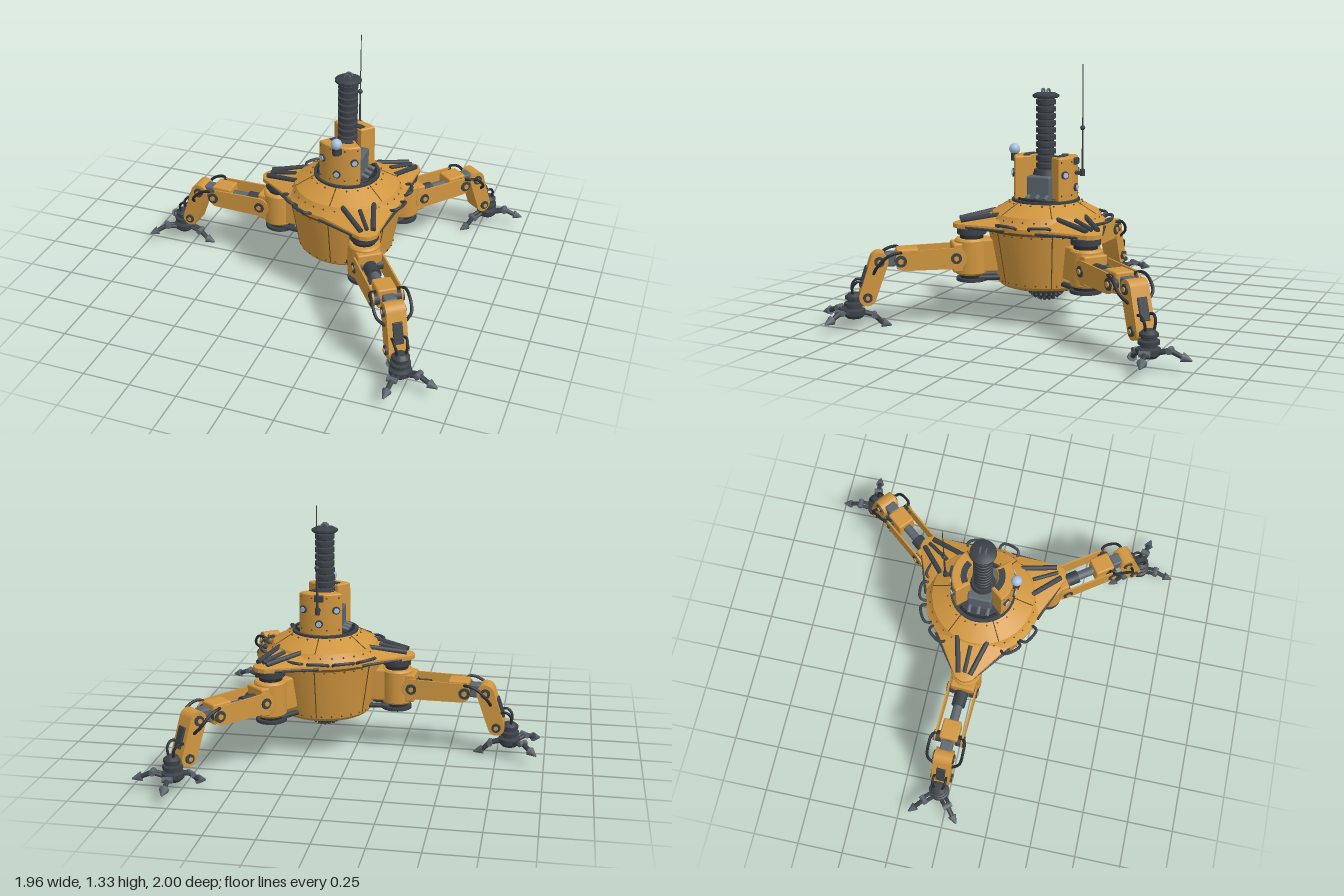
import * as THREE from 'three';
import { toCreasedNormals, mergeGeometries } from 'three/addons/utils/BufferGeometryUtils.js';
import { RoundedBoxGeometry } from 'three/addons/geometries/RoundedBoxGeometry.js';
import { ConvexGeometry } from 'three/addons/geometries/ConvexGeometry.js';

const material = (name, color) => Object.assign(new THREE.MeshStandardMaterial({ color }), { name });
const yellow = material('ochre paint', 0xd0963f);
const dark = material('dark steel', 0x3b4147);
const grey = material('grey steel', 0x5d666f);
const black = material('black rubber', 0x282b2f);
const brown = material('seam brown', 0x6b4a1f);
const glass = material('pale lens', 0xa9c0dc);

const v = (x, y, z = 0) => new THREE.Vector3(x, y, z);
const rad = THREE.MathUtils.degToRad;

function add(parent, name, geo, mat, x = 0, y = 0, z = 0) {
  const m = new THREE.Mesh(geo, mat);
  m.name = name;
  m.position.set(x, y, z);
  parent.add(m);
  return m;
}
// Straight bar between two points
function rod(parent, name, mat, p, q, r, r2 = r, sides = 12) {
  const m = add(parent, name, new THREE.CylinderGeometry(r2, r, p.distanceTo(q), sides), mat);
  m.position.copy(p).lerp(q, 0.5);
  m.quaternion.setFromUnitVectors(v(0, 1), q.clone().sub(p).normalize());
  return m;
}
function tube(parent, name, mat, pts, r) {
  const curve = new THREE.CatmullRomCurve3(pts, false, 'centripetal');
  return add(parent, name, new THREE.TubeGeometry(curve, 16, r, 7), mat);
}
const lathe = (pts, seg = 36) => toCreasedNormals(
  new THREE.LatheGeometry(pts.map(p => new THREE.Vector2(...p)), seg), 0.5);
const box = (w, h, d, r = 0.01) => new RoundedBoxGeometry(w, h, d, 2, r);
// Flat link with round ends, thick along z and centred on z = 0
function link(p, q, r1, r2, thick) {
  const a = Math.atan2(q.y - p.y, q.x - p.x), h = Math.PI / 2, s = new THREE.Shape();
  s.absarc(p.x, p.y, r1, a + h, a + 3 * h);
  s.absarc(q.x, q.y, r2, a - h, a + h);
  const g = new THREE.ExtrudeGeometry(s, { depth: thick, bevelEnabled: false, curveSegments: 10 });
  return toCreasedNormals(g.translate(0, 0, -thick / 2), 0.6);
}
// Upright ring sector facing +z, hanging down from y = 0
function sector(outer, inner, deg, depth, bevel) {
  const half = rad(deg), mid = Math.PI / 2, s = new THREE.Shape();
  s.absarc(0, 0, outer, mid - half, mid + half);
  s.absarc(0, 0, inner, mid + half, mid - half, true);
  const g = new THREE.ExtrudeGeometry(s, { depth, bevelEnabled: bevel > 0, bevelSize: bevel, bevelThickness: bevel, bevelSegments: 1, curveSegments: 16 });
  return toCreasedNormals(g.rotateX(Math.PI / 2), 0.5);
}
// Rings of rivets merged into one mesh
function rivets(parent, name, rings, size) {
  const parts = [];
  for (const [r, y, n] of rings) for (let i = 0; i < n; i++) {
    const a = i / n * Math.PI * 2;
    parts.push(new THREE.SphereGeometry(size, 6, 4).translate(r * Math.cos(a), y, r * Math.sin(a)));
  }
  add(parent, name, mergeGeometries(parts), brown);
}

function hull(root) {
  add(root, 'hull', lathe([[0, 0.205], [0.235, 0.205], [0.252, 0.222], [0.3, 0.505], [0.312, 0.51],
    [0.312, 0.53], [0.29, 0.55], [0.275, 0.58], [0.165, 0.64], [0, 0.64]]), yellow);
  add(root, 'rimBand', lathe([[0.296, 0.495], [0.306, 0.495], [0.306, 0.508], [0.296, 0.508]]), brown);
  rivets(root, 'hullRivets', [[0.255, 0.235, 30], [0.3, 0.487, 36], [0.285, 0.56, 30], [0.19, 0.629, 20]], 0.005);
  for (let i = 0; i < 6; i++) {
    const a = rad(i * 60 + 30), c = Math.cos(a), s = Math.sin(a);
    rod(root, 'hullSeam', brown, v(0.252 * c, 0.225, 0.252 * s), v(0.2995 * c, 0.495, 0.2995 * s), 0.003, 0.003, 5);
    rod(root, 'domeSeam', brown, v(0.275 * c, 0.58, 0.275 * s), v(0.167 * c, 0.639, 0.167 * s), 0.003, 0.003, 5);
  }
  // Grab handles around the rim
  for (const deg of [-94, -70, -18, 15, 118, 140, -142, -118]) {
    const g = new THREE.Group();
    g.name = 'rimHandle';
    g.rotation.y = -rad(deg);
    root.add(g);
    tube(g, 'handleLoop', dark, [v(0.295, 0.525, -0.052), v(0.325, 0.54, -0.052), v(0.34, 0.545, -0.04),
      v(0.34, 0.545, 0.04), v(0.325, 0.54, 0.052), v(0.295, 0.525, 0.052)], 0.008);
  }
  // Toothed drill underneath
  add(root, 'drillRing', lathe([[0.12, 0.207], [0.125, 0.195], [0.205, 0.195], [0.215, 0.207]]), black);
  add(root, 'drillHead', lathe([[0, 0.118], [0.04, 0.122], [0.075, 0.145], [0.092, 0.17], [0.098, 0.207]]), dark);
  const teeth = [];
  for (const [r, y, n, tilt] of [[0.1, 0.192, 24, 1.6], [0.095, 0.172, 22, 1.9], [0.08, 0.152, 19, 2.2],
    [0.06, 0.135, 14, 2.5], [0.035, 0.123, 9, 2.8], [0.01, 0.12, 3, 3]])
    for (let i = 0; i < n; i++)
      teeth.push(new THREE.CylinderGeometry(0.005, 0.014, 0.022, 6).rotateZ(-tilt).translate(r, y, 0).rotateY((i + y * 100) / n * 6.2832));
  add(root, 'drillTeeth', mergeGeometries(teeth), dark);
}

function tower(root) {
  add(root, 'turretDeck', lathe([[0.175, 0.632], [0.175, 0.646], [0, 0.646]]), dark);
  add(root, 'mastHousing', box(0.2, 0.125, 0.13), grey, 0, 0.705);
  add(root, 'mastCollar', new THREE.CylinderGeometry(0.06, 0.068, 0.03, 24), dark, 0, 0.78);
  // Ribbed mast
  const profile = [[0.041, 0.76]];
  for (let y = 0.8; y < 1.15; y += 0.036)
    profile.push([0.041, y], [0.051, y + 0.004], [0.051, y + 0.027], [0.041, y + 0.031]);
  profile.push([0.041, 1.158], [0.06, 1.16], [0.068, 1.166], [0.068, 1.176], [0.05, 1.186], [0, 1.188]);
  add(root, 'ribbedMast', lathe(profile, 28), dark);
  for (const z of [-0.015, 0.015])
    add(root, 'mastHook', new THREE.TorusGeometry(0.017, 0.005, 6, 12, Math.PI), grey, 0, 1.188, z);
  for (const s of [1, -1]) {
    // Curved armour shells, front and back
    const shell = new THREE.Group();
    shell.name = 'towerShell';
    shell.rotation.y = s > 0 ? 0 : Math.PI;
    root.add(shell);
    add(shell, 'shellArmour', sector(0.158, 0.085, 41, 0.21, 0.006), yellow, 0, 0.86);
    add(shell, 'shellTopInset', sector(0.116, 0.083, 34, 0.006, 0), dark, 0, 0.871);
    for (const [deg, y] of [[-31, 0.78], [31, 0.78], [0, 0.71]]) {
      const a = rad(deg), p = r => v(r * Math.sin(a), y, r * Math.cos(a));
      rod(shell, 'lampRim', dark, p(0.155), p(0.172), 0.021);
      rod(shell, 'lampLens', glass, p(0.168), p(0.177), 0.014);
    }
    const dots = [];
    for (const deg of [-37, -14, 14, 37]) for (const y of [0.675, 0.845])
      dots.push(new THREE.SphereGeometry(0.005, 6, 4).translate(0, 0, 0.164).rotateY(rad(deg)).translate(0, y, 0));
    add(shell, 'shellRivets', mergeGeometries(dots), brown);
    add(shell, 'shellBracket', box(0.05, 0.035, 0.018, 0.005), dark, 0, 0.845, 0.167);
    // Low pipework on the deck beside the mast
    for (const z of [-0.05, 0, 0.05])
      rod(root, 'deckPipe', grey, v(s * 0.135, 0.653, z), v(s * 0.09, 0.668, z), 0.011);
    tube(root, 'deckHose', black, [v(s * 0.11, 0.65, -0.1), v(s * 0.138, 0.65, -0.06), v(s * 0.15, 0.65, 0),
      v(s * 0.138, 0.65, 0.06), v(s * 0.11, 0.65, 0.1)], 0.008);
  }
  rod(root, 'beaconStem', dark, v(0, 0.83, 0.177), v(0, 0.875, 0.177), 0.02);
  add(root, 'beacon', new THREE.SphereGeometry(0.029, 20, 14), glass, 0, 0.89, 0.177);
  // Whip antenna
  rod(root, 'antennaArm', dark, v(0, 0.785, -0.15), v(0, 0.785, -0.203), 0.01);
  rod(root, 'antennaBase', dark, v(0, 0.77, -0.203), v(0, 0.805, -0.203), 0.013);
  rod(root, 'antennaLower', dark, v(0, 0.8, -0.203), v(0, 1.02, -0.203), 0.006, 0.004, 8);
  rod(root, 'antennaWhip', dark, v(0, 1.02, -0.203), v(0, 1.335, -0.203), 0.003, 0.002, 6);
  add(root, 'antennaKnob', new THREE.SphereGeometry(0.013, 12, 8), dark, 0, 1.015, -0.203);
}

// Shoulder fairing and hip mount; local +x points outward
function shoulder(g) {
  const pts = [];
  for (const s of [1, -1]) {
    pts.push(v(0.2, 0.505, s * 0.225), v(0.2, 0.53, s * 0.22), v(0.16, 0.59, s * 0.115));
    for (const a of [10, 45, 80]) for (const y of [0.505, 0.527])
      pts.push(v(0.425 + 0.055 * Math.cos(rad(a)), y, s * 0.062 * Math.sin(rad(a))));
    pts.push(v(0.4, 0.545, s * 0.035));
  }
  add(g, 'fairing', toCreasedNormals(new ConvexGeometry(pts), 0.3), yellow);
  for (const s of [1, -1]) {
    rod(g, 'fairingBar', dark, v(0.25, 0.575, s * 0.082), v(0.44, 0.544, s * 0.032), 0.014);
    rod(g, 'fairingEdge', dark, v(0.24, 0.512, s * 0.205), v(0.42, 0.512, s * 0.07), 0.007);
    rod(g, 'lowerBrace', dark, v(0.2, 0.245, s * 0.05), v(0.42, 0.245, s * 0.035), 0.014);
  }
  rod(g, 'fairingBar', dark, v(0.29, 0.571), v(0.435, 0.548), 0.011);
  for (const [y, h, r, m] of [[0.485, 0.03, 0.075, dark], [0.458, 0.022, 0.06, black],
    [0.253, 0.022, 0.06, black], [0.235, 0.016, 0.08, dark]])
    add(g, 'hipBearing', new THREE.CylinderGeometry(r, r, h, 28), m, 0.385, y);
  add(g, 'hipMount', box(0.14, 0.17, 0.11), yellow, 0.3, 0.36);
}

// Arm, shin and foot; local x runs outward from the hip pivot
function leg(g) {
  add(g, 'hipDrum', lathe([[0, 0.262], [0.075, 0.262], [0.083, 0.272], [0.083, 0.438], [0.075, 0.448], [0, 0.448]]), yellow);
  add(g, 'hipClevis', box(0.09, 0.15, 0.13), yellow, 0.055, 0.355);
  rod(g, 'armPiston', grey, v(0.09, 0.357), v(0.3, 0.357), 0.025);
  rod(g, 'armSleeve', dark, v(0.09, 0.357), v(0.18, 0.357), 0.037);
  add(g, 'armBlock', box(0.11, 0.105, 0.1), yellow, 0.328, 0.357);
  rod(g, 'kneeLink', dark, v(0.35, 0.355), v(0.47, 0.355), 0.03);
  add(g, 'kneeBlock', box(0.06, 0.072, 0.065), grey, 0.414, 0.355);
  const knee = v(0.47, 0.35), ankle = v(0.532, 0.168);
  add(g, 'shin', link(knee, ankle, 0.046, 0.043, 0.1), yellow);
  add(g, 'shinPad', box(0.012, 0.11, 0.05, 0.004), dark, 0.55, 0.27).rotation.z = 0.33;
  for (const s of [1, -1]) {
    add(g, 'armPlate', link(v(0.085, 0.357), v(0.345, 0.354), 0.054, 0.05, 0.009), yellow, 0, 0, s * 0.074);
    for (const [p, r, w] of [[v(0.085, 0.357), 0.028, 0.085], [v(0.365, 0.354), 0.03, 0.085], [knee, 0.026, 0.058], [ankle, 0.024, 0.06]]) {
      rod(g, 'jointCap', dark, v(p.x, p.y, s * 0.04), v(p.x, p.y, s * w), r, r, 18);
      rod(g, 'jointBolt', yellow, v(p.x, p.y, s * w), v(p.x, p.y, s * (w + 0.006)), r * 0.5, r * 0.5, 6);
    }
    tube(g, 'kneeHose', black, [v(0.35, 0.385, s * 0.05), v(0.375, 0.4, s * 0.088), v(0.43, 0.385, s * 0.095),
      v(0.485, 0.33, s * 0.088), v(0.5, 0.29, s * 0.05)], 0.008);
    tube(g, 'ankleHose', black, [v(0.535, 0.24, s * 0.03), v(0.58, 0.25, s * 0.035), v(0.605, 0.225, s * 0.03),
      v(0.605, 0.17, s * 0.02)], 0.007);
  }
  // Foot hub and three claws
  add(g, 'ankleStack', lathe([[0, 0.058], [0.038, 0.058], [0.056, 0.075], [0.056, 0.1], [0.037, 0.108], [0.037, 0.118],
    [0.051, 0.122], [0.051, 0.138], [0.035, 0.143], [0.035, 0.153], [0.045, 0.157], [0.045, 0.172], [0.025, 0.188], [0, 0.19]], 20), dark, 0.598);
  rod(g, 'anklePin', grey, v(0.53, 0.15), v(0.598, 0.15), 0.022);
  for (const [deg, drop, reach] of [[42, 0, 0.203], [-42, 0, 0.203], [180, 0.055, 0.187]]) {
    const toe = new THREE.Group();
    toe.name = 'claw';
    toe.position.set(0.598, 0, 0);
    toe.rotation.y = rad(deg);
    g.add(toe);
    const a = v(0.045, 0.085), b = v(0.1, 0.1 - drop * 0.6), c = v(reach - 0.046, 0.076 - drop * 0.95), d = v(reach, 0.063 - drop);
    for (const s of [1, -1]) {
      const o = v(0, 0, s * 0.013);
      rod(toe, 'clawBar', dark, a.clone().add(o), b.clone().add(o), 0.011, 0.01, 8);
    }
    rod(toe, 'clawKnuckle', grey, v(b.x, b.y, -0.025), v(b.x, b.y, 0.025), 0.015);
    rod(toe, 'clawFinger', dark, b, c, 0.014, 0.012, 8);
    rod(toe, 'clawTip', grey, c, d, 0.025, 0.004, 8);
  }
}

export function createModel() {
  const model = new THREE.Group();
  model.name = 'tripodDrillRobot';
  const body = new THREE.Group();
  body.name = 'body';
  body.position.set(0.172, 0, -0.018);
  model.add(body);
  hull(body);
  tower(body);
  for (const [hipDeg, armDeg] of [[-54.5, -50.3], [58, 54.6], [181, 182.5]]) {
    const mount = new THREE.Group(), limb = new THREE.Group(), a = rad(hipDeg);
    mount.name = 'shoulder';
    mount.rotation.y = -a;
    limb.name = 'leg';
    limb.position.set(0.39 * Math.cos(a), 0, 0.39 * Math.sin(a));
    limb.rotation.y = -rad(armDeg);
    body.add(mount, limb);
    shoulder(mount);
    leg(limb);
  }
  return model;
}
